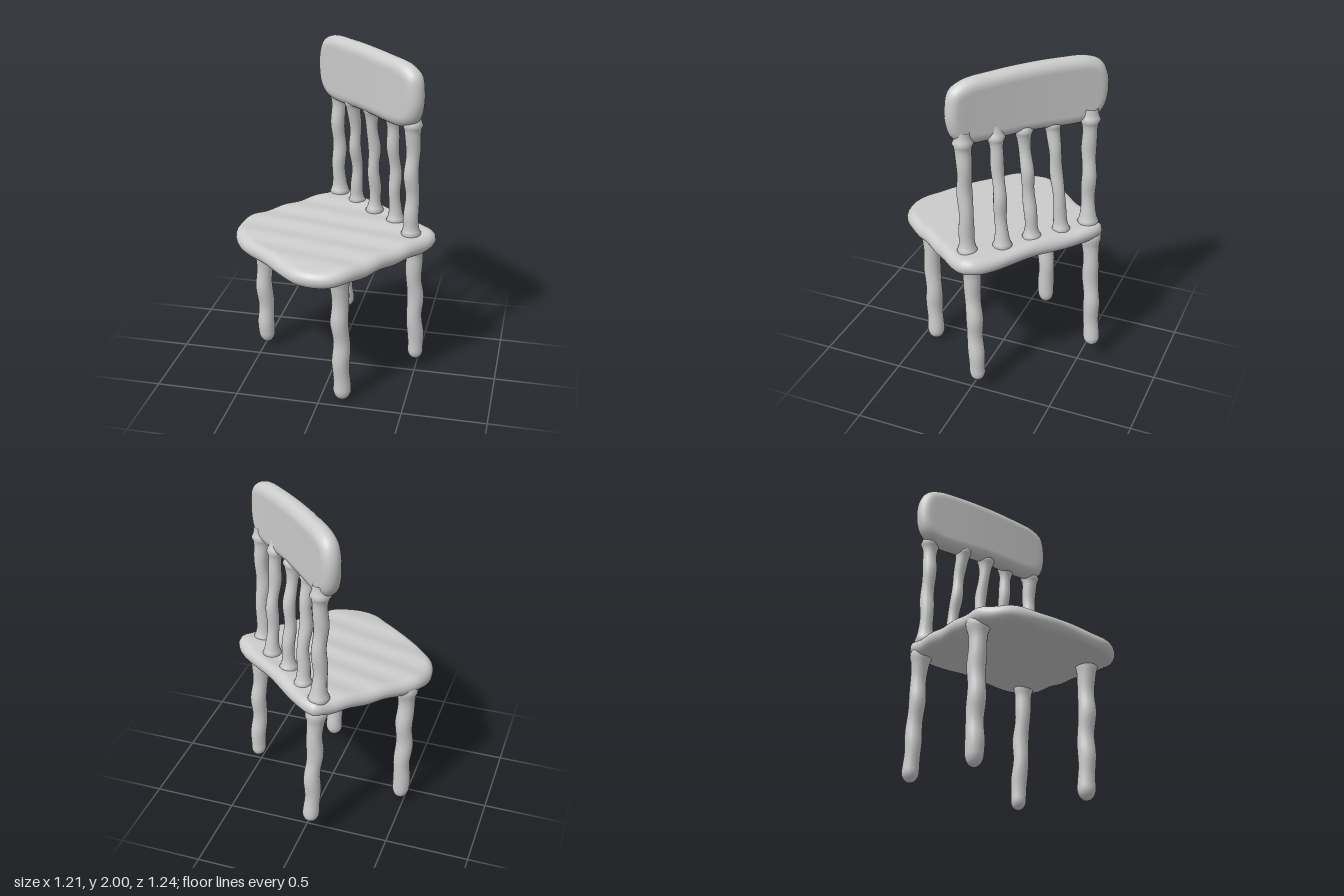
import * as THREE from 'three';

const material = new THREE.MeshStandardMaterial({ color: 0xcccccc });

// Smooth skin over a stack of closed rings of points
function skin(name, rings) {
  const n = rings[0].length, pos = [], index = [];
  rings.forEach((ring) => ring.forEach((p) => pos.push(...p)));
  for (let i = 0; i < rings.length - 1; i++) {
    for (let j = 0; j < n; j++) {
      const a = i * n + j, b = i * n + (j + 1) % n;
      index.push(a, a + n, b + n, a, b + n, b);
    }
  }
  const geo = new THREE.BufferGeometry();
  geo.setAttribute('position', new THREE.Float32BufferAttribute(pos, 3));
  geo.setIndex(index);
  geo.computeVertexNormals();
  const mesh = new THREE.Mesh(geo, material);
  mesh.name = name;
  return mesh;
}

// Cushion-edged slab: counter-clockwise outline (a, b), thickness along c, placed by map(a, b, c)
function slab(name, outline, half, round, map) {
  const curve = new THREE.CatmullRomCurve3(
    outline.map(([a, b]) => new THREE.Vector3(a, b, 0)), true, 'centripetal');
  const N = 96, pts = [], mid = new THREE.Vector3();
  for (let j = 0; j < N; j++) {
    const p = curve.getPointAt(j / N), t = curve.getTangentAt(j / N);
    pts.push({ p, nx: t.y, ny: -t.x });
    mid.addScaledVector(p, 1 / N);
  }
  const rings = [];
  const ring = (scale, inset, c) => rings.push(pts.map(({ p, nx, ny }) => map(
    mid.x + (p.x - nx * inset - mid.x) * scale,
    mid.y + (p.y - ny * inset - mid.y) * scale, c)));
  for (let i = 0; i < 16; i++) ring(Math.max(i / 16, 0.001), round, half);
  for (let i = 0; i <= 12; i++) {
    const t = Math.PI * (0.5 - i / 12);
    ring(1, round * (1 - Math.cos(t)), half * Math.sin(t));
  }
  for (let i = 15; i >= 0; i--) ring(Math.max(i / 16, 0.001), round, -half);
  return skin(name, rings);
}

// Slightly wavering upright rod; flares near the joint heights, optional round foot
function rod(name, bottom, top, r, { joints, flare, foot = false, bow = [0, 0], phase = 0 }) {
  const rings = [], rows = 44, h = top[1] - bottom[1];
  for (let i = 0; i <= rows; i++) {
    const t = foot ? (i / rows) ** 1.5 : i / rows;
    const y = bottom[1] + h * t, b = Math.sin(Math.PI * t);
    const wob = 0.005 * Math.sin(y * 21 + phase) * b;
    const x = bottom[0] + (top[0] - bottom[0]) * t + bow[0] * b + wob;
    const z = bottom[2] + (top[2] - bottom[2]) * t + bow[1] * b - wob;
    let rad = r + 0.002 * Math.sin(y * 27 + phase * 2);
    for (const jy of joints) rad += flare * Math.exp(-Math.abs(y - jy) / 0.028);
    if (foot) rad *= Math.sqrt(1 - Math.max(0, 1 - h * t / (r * 1.3)) ** 2) || 0.001;
    const ring = [];
    for (let j = 0; j < 20; j++) {
      const a = j / 20 * Math.PI * 2;
      ring.push([x + rad * Math.cos(a), y, z + rad * Math.sin(a)]);
    }
    rings.push(ring);
  }
  return skin(name, rings);
}

// Gently tilted middle plane of the seat
const seatY = (x, z) => 0.885 - 0.055 * z + 0.02 * x;

export function createModel() {
  const chair = new THREE.Group();
  chair.name = 'chair';

  // Seat: rounded diamond with faint ripples on its faces
  const seatOutline = [
    [0.605, 0.0], [0.573, 0.085], [0.27, 0.33], [-0.02, 0.573], [-0.09, 0.595], [-0.16, 0.53],
    [-0.34, 0.345], [-0.507, 0.17], [-0.575, 0.09], [-0.605, -0.03], [-0.575, -0.165],
    [-0.49, -0.275], [-0.35, -0.395], [-0.21, -0.515], [-0.11, -0.59], [0.0, -0.617],
    [0.105, -0.6], [0.19, -0.545], [0.37, -0.325], [0.553, -0.1]];
  chair.add(slab('seat', seatOutline, 0.052, 0.055, (x, b, c) => {
    const z = -b;
    const ripple = 0.005 * Math.sin((z - 0.25 * x) / 0.21 * Math.PI * 2);
    return [x, seatY(x, z) + c + ripple, z];
  }));

  // Legs: foot and top positions
  const legs = [
    ['frontLeftLeg', [0.13, 0.0, 0.415], [0.115, 0.44]],
    ['frontRightLeg', [-0.48, 0.032, -0.11], [-0.49, -0.095]],
    ['backLeftLeg', [0.5, 0.07, -0.04], [0.475, 0.005]],
    ['backRightLeg', [-0.05, 0.103, -0.573], [-0.077, -0.525]]];
  legs.forEach(([name, foot, [x, z]], i) => {
    const y = seatY(x, z);
    chair.add(rod(name, foot, [x, y, z], i < 2 ? 0.052 : 0.049,
      { joints: [y - 0.04], flare: 0.024, foot: true, phase: i * 1.7 }));
  });

  // Back posts and spindles: x, z at the seat, then x, z at the top rail
  const uprights = [
    [-0.085, -0.505, -0.095, -0.485], [0.053, -0.39, 0.035, -0.3], [0.19, -0.26, 0.17, -0.18],
    [0.34, -0.135, 0.31, -0.075], [0.46, 0.03, 0.457, 0.05]];
  const backrest = new THREE.Group();
  backrest.name = 'backrest';
  uprights.forEach(([x0, z0, x1, z1], i) => {
    const outer = i === 0 || i === 4, y = seatY(x0, z0);
    backrest.add(rod(outer ? 'backPost' : 'spindle', [x0, y, z0], [x1, 1.69, z1],
      outer ? 0.043 : 0.037,
      { joints: [y + 0.055, 1.62], flare: 0.02, bow: outer ? [0, 0] : [0.006, -0.006], phase: i * 2.1 }));
  });

  // Top rail: upright rounded panel across the back
  const railOutline = [
    [-0.36, 1.99], [-0.44, 1.955], [-0.483, 1.87], [-0.483, 1.73], [-0.45, 1.655], [-0.37, 1.605],
    [0, 1.605], [0.37, 1.605], [0.45, 1.65], [0.48, 1.72], [0.485, 1.82], [0.462, 1.92],
    [0.38, 1.97], [0.2, 1.99], [0, 2.0], [-0.2, 2.0]];
  backrest.add(slab('topRail', railOutline, 0.058, 0.06, (u, y, c) => {
    const n = c + 0.015 * (1 - (u / 0.48) ** 2);
    return [0.157 + 0.725 * u - 0.689 * n, y, -0.21 + 0.689 * u + 0.725 * n];
  }));
  chair.add(backrest);
  return chair;
}
